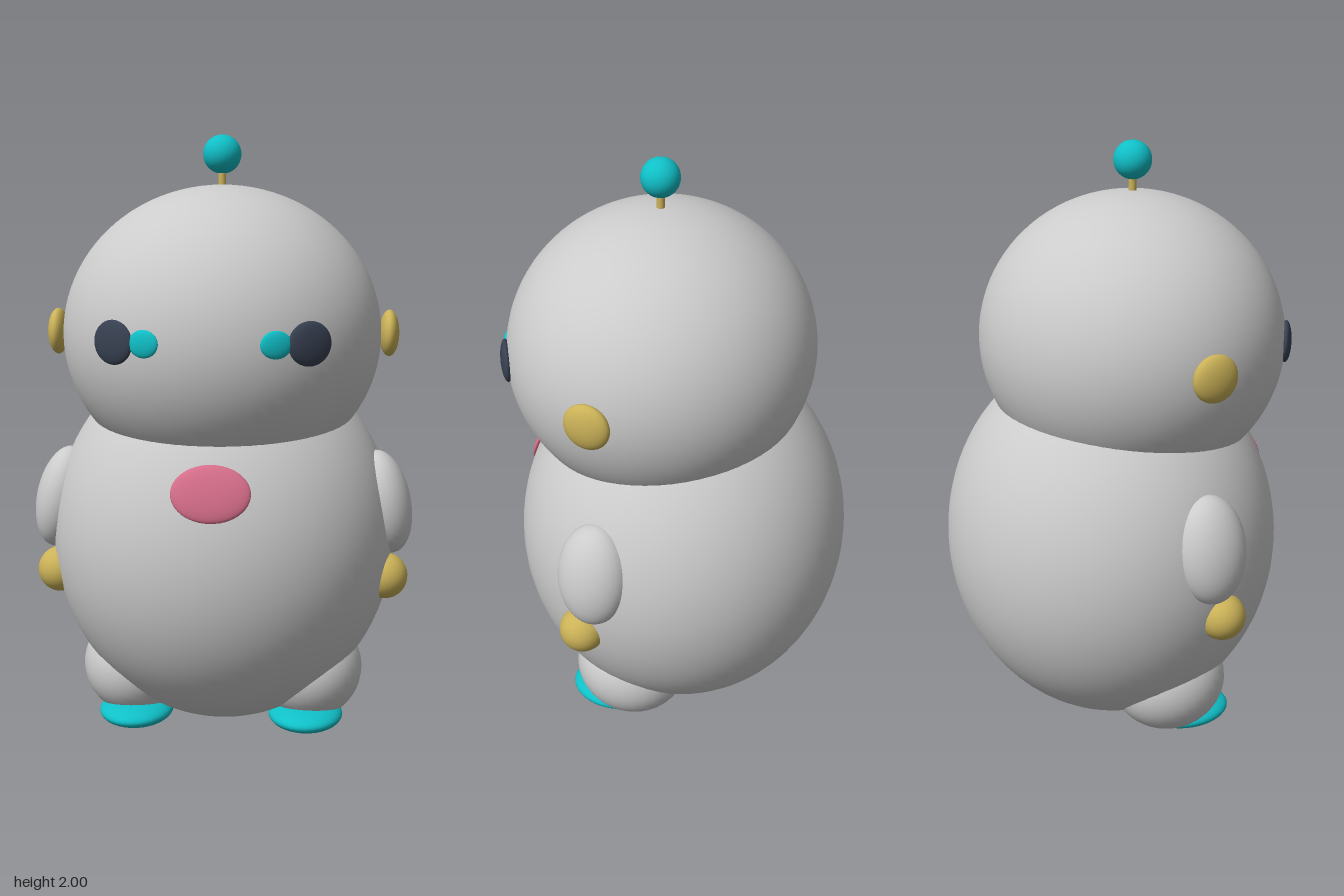
import * as THREE from 'three';

const mat = (color) => new THREE.MeshStandardMaterial({ color });

export function createModel() {
  const model = new THREE.Group();
  const grey = mat(0xcccccc);
  const teal = mat(0x10c0c8);
  const gold = mat(0xcbb258);
  const dark = mat(0x384152);
  const pink = mat(0xd66e8a);

  // Smooth ellipsoid from centre, radii and rotation
  function blob(name, material, pos, radii, rot = [0, 0, 0], detail = 32) {
    const geometry = new THREE.SphereGeometry(1, detail, Math.round(detail * 0.75));
    geometry.scale(...radii);
    const mesh = new THREE.Mesh(geometry, material);
    mesh.name = name;
    mesh.position.set(...pos);
    mesh.rotation.set(...rot);
    model.add(mesh);
    return mesh;
  }

  // Mirrored pair: left is +x, right is -x
  function pair(name, material, [x, y, z], radii, [rx, ry, rz] = [0, 0, 0]) {
    for (const [side, s] of [['left', 1], ['right', -1]]) {
      blob(side + name, material, [s * x, y, z], radii, [rx, s * ry, s * rz]);
    }
  }

  // Body and head
  blob('body', grey, [0, 0.657, -0.011], [0.59, 0.653, 0.567], [0, 0, 0], 64);
  blob('head', grey, [0, 1.35, 0.068], [0.53, 0.49, 0.51], [0, 0, 0], 64);
  blob('chestPatch', pink, [0, 0.892, 0.515], [0.125, 0.091, 0.021], [-0.27, 0, 0]);

  // Face: eyes and highlights lie against the head surface
  pair('Eye', dark, [0.3, 1.355, 0.489], [0.076, 0.069, 0.02], [0, 0.58, 0]);
  pair('EyeHighlight', teal, [0.2, 1.355, 0.541], [0.05, 0.043, 0.014], [0, 0.36, 0]);
  pair('Ear', gold, [0.556, 1.355, 0.07], [0.033, 0.077, 0.077]);

  // Arms and hands
  pair('Arm', grey, [0.55, 0.785, 0.073], [0.09, 0.178, 0.122], [0, 0, 0.21]);
  pair('Hand', gold, [0.553, 0.54, 0.121], [0.078, 0.078, 0.078]);

  // Legs and feet
  pair('Leg', grey, [0.302, 0.198, 0.064], [0.182, 0.18, 0.2]);
  pair('Foot', teal, [0.292, 0.053, 0.14], [0.127, 0.045, 0.157]);

  // Antenna
  const stem = new THREE.Mesh(new THREE.CylinderGeometry(0.013, 0.013, 0.14, 16), gold);
  stem.name = 'antennaStem';
  stem.position.set(0, 1.84, 0.07);
  model.add(stem);
  blob('antennaBall', teal, [0, 1.938, 0.07], [0.063, 0.063, 0.063]);

  return model;
}
